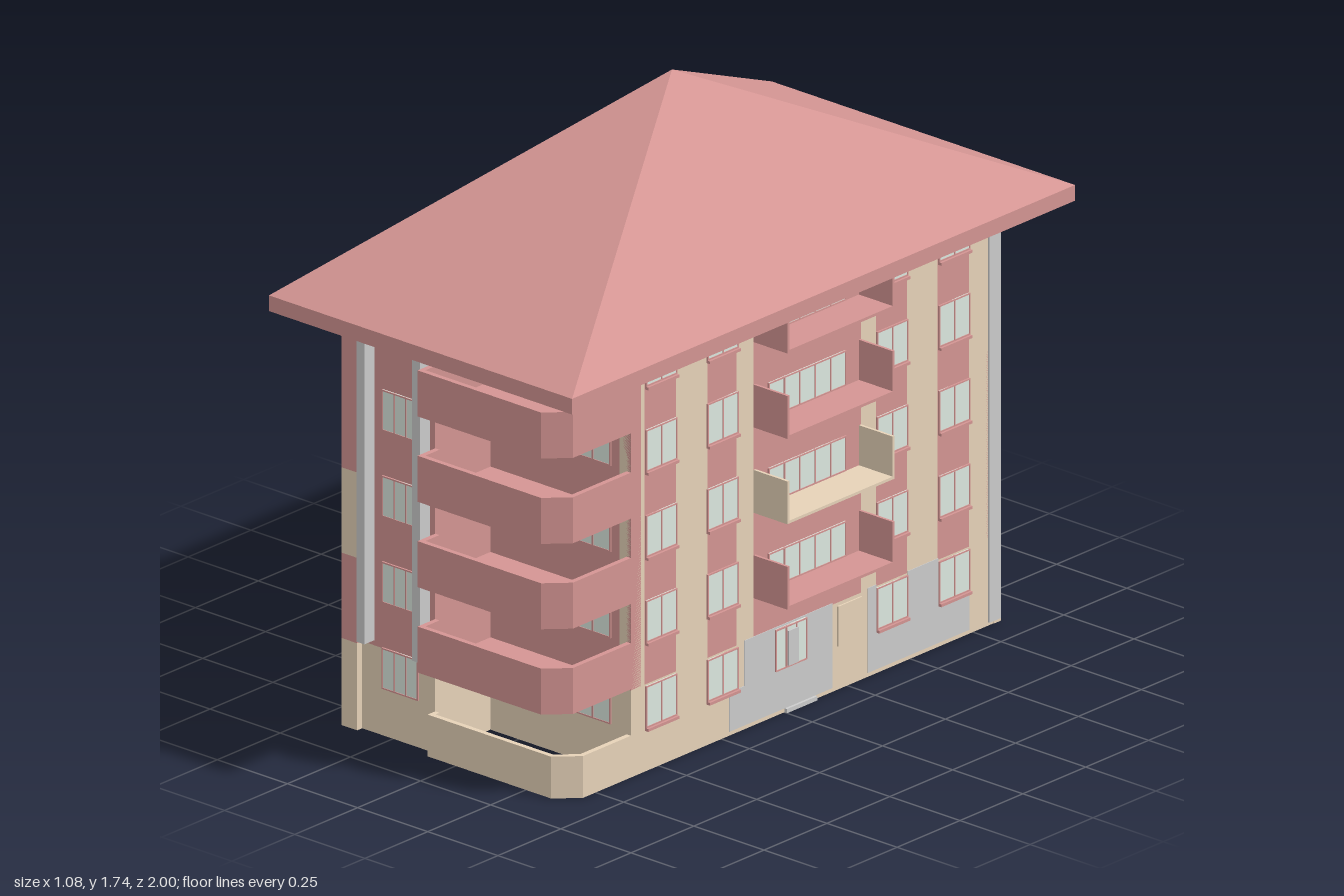
import * as THREE from 'three';

const mat = (color) => new THREE.MeshStandardMaterial({ color, flatShading: true, side: THREE.DoubleSide });
const PINK = mat(0xd49593), BEIGE = mat(0xe6d2b8), GLASS = mat(0xdce8df), GREY = mat(0xcccccc);

// Box given by its limits on each axis
function box(parent, name, m, x0, x1, y0, y1, z0, z1) {
  const mesh = new THREE.Mesh(new THREE.BoxGeometry(x1 - x0, y1 - y0, z1 - z0), m);
  mesh.position.set((x0 + x1) / 2, (y0 + y1) / 2, (z0 + z1) / 2);
  mesh.name = name;
  parent.add(mesh);
  return mesh;
}

// Upright prism over a plan outline of [x, z] points
function prism(parent, name, m, plan, y0, y1) {
  const shape = new THREE.Shape(plan.map(([x, z]) => new THREE.Vector2(x, -z)));
  const g = new THREE.ExtrudeGeometry(shape, { depth: y1 - y0, bevelEnabled: false });
  g.rotateX(-Math.PI / 2);
  const mesh = new THREE.Mesh(g, m);
  mesh.position.y = y0;
  mesh.name = name;
  parent.add(mesh);
}

// Framed window facing local +z, standing on its sill
function windowUnit(parent, x, y, z, w, h, panes, turn = 0) {
  const g = new THREE.Group();
  g.name = 'window';
  box(g, 'glass', GLASS, -w / 2, w / 2, 0, h, -0.004, 0.003);
  for (let i = 0; i <= panes; i++) {
    const c = -w / 2 + (w * i) / panes;
    box(g, 'windowFrame', PINK, c - 0.002, c + 0.002, 0, h, 0, 0.005);
  }
  box(g, 'windowRail', PINK, -w / 2, w / 2, 0, 0.004, 0, 0.005);
  box(g, 'windowRail', PINK, -w / 2, w / 2, h - 0.004, h, 0, 0.005);
  g.position.set(x, y, z);
  g.rotation.y = turn;
  parent.add(g);
}

// Wall with a beige ground storey
function wall(parent, name, m, x0, x1, z0, z1) {
  box(parent, name + 'Base', BEIGE, x0, x1, 0, 0.25, z0, z1);
  box(parent, name, m, x0, x1, 0.25, 1.2, z0, z1);
}

// End facade: flat bay with pilasters, recessed loggia with corner parapets
function endFacade(name, reach) {
  const g = new THREE.Group();
  g.name = name;
  wall(g, 'bayWall', PINK, -0.36, -0.1, 0.79, 0.83);
  wall(g, 'loggiaSideWall', PINK, -0.14, -0.1, 0.61, 0.79);
  wall(g, 'loggiaBackWall', PINK, -0.1, 0.4, 0.57, 0.61);
  for (const x of [-0.33, -0.133]) box(g, 'pilaster', GREY, x - 0.014, x + 0.014, 0.265, 1.2, 0.83, 0.87);

  for (let f = 0; f < 5; f++) {
    const y = 0.135 + f * 0.247;
    const h = Math.min(0.118, 1.2 - y);
    windowUnit(g, -0.222, y, 0.83, 0.125, h, 3);
    for (const x of [0.022, 0.267]) windowUnit(g, x, y, 0.61, 0.125, h, 2);

    // parapet strip and floor slab with a chamfered corner
    const y0 = f ? 0.265 + (f - 1) * 0.245 : 0;
    const e = f ? reach : Math.min(reach, 0.86), t = 0.015;
    const outer = [[-0.1, 0.83], [-0.1, e], [0.14, e], [0.34, e], [0.4, e - 0.06], [0.4, 0.61]];
    const inner = [[0.4 - t, 0.61], [0.4 - t, e - 0.066], [0.334, e - t], [-0.1 + t, e - t], [-0.1 + t, 0.83]];
    prism(g, 'loggiaParapet', f ? PINK : BEIGE, [...outer, ...inner], y0, y0 + 0.12);
    if (f) prism(g, 'loggiaSlab', PINK, [...outer, [-0.1, 0.61]], y0 - 0.012, y0);
  }
  return g;
}

// Long facade on the +x side
function longFacade() {
  const g = new THREE.Group();
  g.name = 'longFacade';
  const X = 0.4;
  // strips of wall from front to back: [z start, z end, material]
  const strips = [
    [0.61, 0.555, BEIGE], [0.555, 0.43, PINK], [0.43, 0.305, BEIGE], [0.305, 0.19, PINK],
    [0.19, 0.122, BEIGE], [0.122, -0.305, PINK], [-0.305, -0.365, BEIGE], [-0.365, -0.488, PINK],
    [-0.488, -0.61, BEIGE], [-0.61, -0.735, PINK], [-0.735, -0.83, BEIGE],
  ];
  for (const [a, b, m] of strips) wall(g, 'wallStrip', m, 0.36, X, b, a);

  // window columns with sills
  for (const z of [0.492, 0.247, -0.427, -0.673]) {
    for (let f = 0; f < 5; f++) {
      const y = 0.125 + f * 0.245;
      windowUnit(g, X, y, z, 0.12, Math.min(0.12, 1.2 - y), 2, Math.PI / 2);
      box(g, 'sill', PINK, X, X + 0.012, y - 0.008, y, z - 0.062, z + 0.062);
    }
  }

  // open-fronted balconies with side panels
  for (let f = 0; f < 4; f++) {
    const y = 0.365 + f * 0.245, top = Math.min(y + 0.123, 1.2);
    const m = f === 1 ? BEIGE : PINK;
    box(g, 'balconySlab', m, X, 0.52, y, y + 0.008, -0.305, 0.122);
    for (const z of [-0.305, 0.114]) box(g, 'balconySide', m, X, 0.52, y, top, z, z + 0.008);
    windowUnit(g, X, y + 0.01, -0.088, 0.305, top - y - 0.022, 5, Math.PI / 2);
  }

  // grey plaster patches, entrance and step
  box(g, 'plasterPatch', GREY, X, 0.402, 0.012, 0.125, -0.19, 0.22);
  box(g, 'plasterPatch', GREY, X, 0.402, 0.125, 0.255, -0.19, 0.16);
  box(g, 'plasterPatch', GREY, X, 0.402, 0.012, 0.118, -0.735, -0.33);
  for (const [a, b] of [[-0.365, -0.33], [-0.61, -0.49]]) box(g, 'plasterPatch', GREY, X, 0.402, 0.118, 0.255, a, b);
  windowUnit(g, 0.404, 0.13, -0.02, 0.12, 0.12, 3, Math.PI / 2);
  box(g, 'entranceDoor', GREY, X, 0.412, 0.135, 0.235, -0.045, -0.005);
  box(g, 'step', GREY, X, 0.41, 0, 0.012, -0.12, 0);
  box(g, 'shutter', BEIGE, X, 0.405, 0.125, 0.24, -0.305, -0.21);
  box(g, 'cornerStrip', GREY, 0.385, 0.406, 0.01, 1.2, -0.855, -0.81);
  return g;
}

// Blind wall on the -x side, banded in colour
function blindWall() {
  const g = new THREE.Group();
  g.name = 'blindWall';
  const levels = [0, 0.25, 0.495, 0.74, 1.2];
  for (let i = 0; i < 4; i++) {
    box(g, 'wallBand', i % 2 ? PINK : BEIGE, -0.415, -0.36, levels[i], levels[i + 1], -0.85, 0.85);
  }
  box(g, 'basePlaster', GREY, -0.418, -0.415, 0, 0.25, -0.855, 0.7);
  box(g, 'basePlasterEnd', GREY, -0.418, -0.36, 0, 0.25, -0.858, -0.85);
  return g;
}

// Hipped roof: eaves slab and a four-sided pyramid
function roof() {
  const g = new THREE.Group();
  g.name = 'roof';
  box(g, 'eaves', PINK, -0.54, 0.54, 1.2, 1.245, -1, 1);
  const cone = new THREE.ConeGeometry(Math.SQRT2, 0.49, 4, 1, true);
  cone.rotateY(Math.PI / 4);
  cone.scale(0.54, 1, 1);
  const mesh = new THREE.Mesh(cone, PINK);
  mesh.position.y = 1.49;
  mesh.name = 'roofPyramid';
  g.add(mesh);
  return g;
}

export function createModel() {
  const model = new THREE.Group();
  model.name = 'apartmentBuilding';
  const front = endFacade('frontFacade', 0.9);
  // the back facade is the front one turned around
  const back = endFacade('backFacade', 0.867);
  back.rotation.y = Math.PI;
  back.position.x = 0.04;
  model.add(front, back, longFacade(), blindWall(), roof());
  box(model, 'backPlinth', BEIGE, 0.14, 0.402, 0, 0.12, -0.86, -0.83);
  return model;
}
